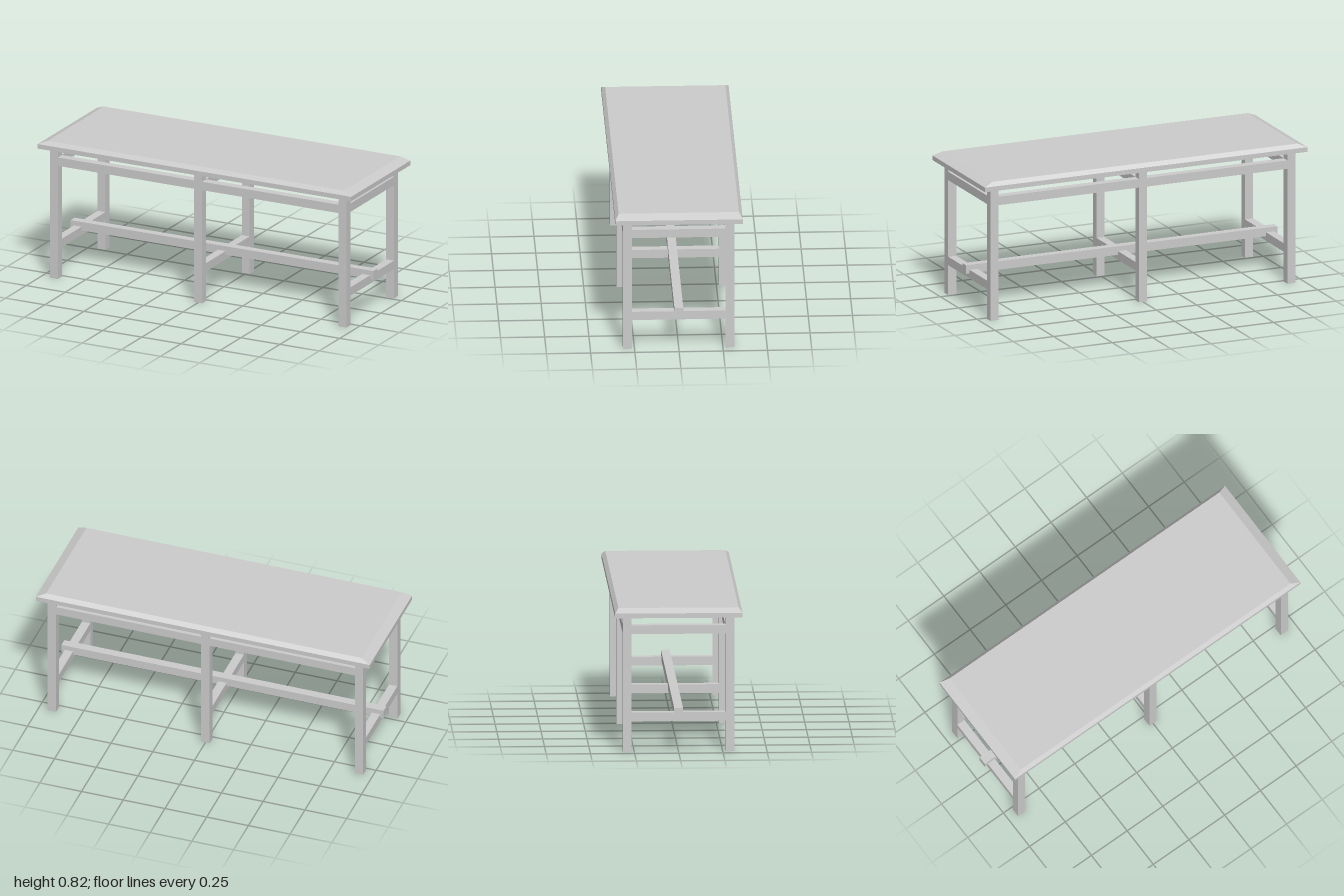
import * as THREE from 'three';

export function createModel() {
  const group = new THREE.Group();
  const material = new THREE.MeshStandardMaterial({ color: 0xcccccc, flatShading: true });
  const T = 0.05; // timber thickness
  const legX = [-0.92, 0, 0.92];
  const legZ = [-0.29, 0.29];

  function add(name, geometry, x, y, z) {
    const mesh = new THREE.Mesh(geometry, material);
    mesh.name = name;
    mesh.position.set(x, y, z);
    group.add(mesh);
  }
  const beam = (name, w, h, d, x, y, z) => add(name, new THREE.BoxGeometry(w, h, d), x, y, z);

  // Table top: a slab whose upper part slopes in to a smaller top face
  const top = new THREE.BoxGeometry(2, 0.05, 0.72, 1, 2, 1);
  const p = top.attributes.position;
  for (let i = 0; i < p.count; i++) {
    const y = p.getY(i);
    if (y > 0.01) {
      p.setX(i, Math.sign(p.getX(i)) * 0.945);
      p.setZ(i, Math.sign(p.getZ(i)) * 0.34);
    } else if (y > -0.01) p.setY(i, 0.002);
  }
  top.computeVertexNormals();
  add('tableTop', top, 0, 0.8, 0);

  // Three leg frames, each with an upper and a lower cross rail
  for (const x of legX) {
    for (const z of legZ) beam('leg', T, 0.775, T, x, 0.3875, z);
    beam('upperCrossRail', T, T, 0.53, x, 0.7, 0);
    beam('lowerCrossRail', T, T, 0.53, x, 0.2, 0);
  }

  // Long rails between the legs
  for (const z of legZ)
    for (const x of [-0.46, 0.46]) beam('longRail', 0.87, T, T, x, 0.7, z);

  // Long stretcher notched over the lower cross rails
  beam('stretcher', 1.93, T, T, 0, 0.228, 0);

  return group;
}
